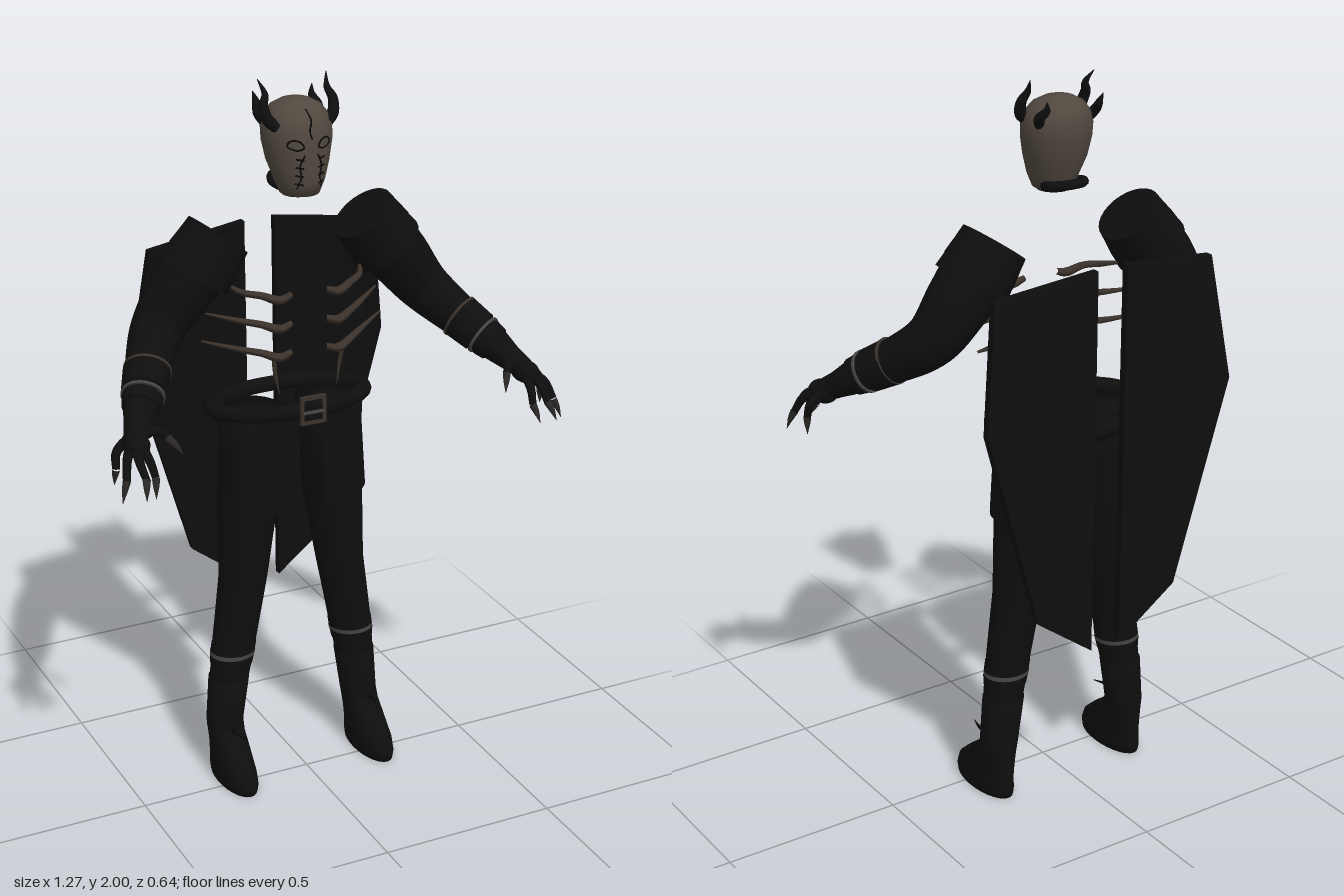
import * as THREE from 'three';

const mat = (name, color, side = THREE.FrontSide) => {
  const m = new THREE.MeshStandardMaterial({ color, side });
  m.name = name;
  return m;
};
const V = (p) => new THREE.Vector3(...p);

export function createModel() {
  const black = mat('blackLeather', 0x0e0e0e, THREE.DoubleSide);
  const dark = mat('darkStrap', 0x080808);
  const mask = mat('maskBone', 0x51483f);
  const bone = mat('ribBone', 0x3a312a);
  const steel = mat('steelTrim', 0x484644);
  const claw = mat('clawHorn', 0x2a2725);

  const add = (parent, name, geo, material) => {
    const m = new THREE.Mesh(geo, material);
    m.name = name;
    parent.add(m);
    return m;
  };

  // Horizontal elliptical rings: [y, centreX, centreZ, radiusX, radiusZ], rising in y
  const loft = (rows, n = 28) => {
    const pos = [], idx = [];
    rows.forEach(([y, cx, cz, rx, rz], i) => {
      for (let j = 0; j < n; j++) {
        const a = (j / n) * Math.PI * 2;
        pos.push(cx + rx * Math.sin(a), y, cz + rz * Math.cos(a));
        if (i === rows.length - 1) continue;
        const p = i * n + j, q = i * n + (j + 1) % n;
        idx.push(p, q, q + n, p, q + n, p + n);
      }
    });
    const g = new THREE.BufferGeometry();
    g.setAttribute('position', new THREE.Float32BufferAttribute(pos, 3));
    g.setIndex(idx);
    g.computeVertexNormals();
    return g;
  };

  // Tube through points with its own radius at each point
  const limb = (pts, radii, sides = 10, segs = 20) => {
    const c = new THREE.CatmullRomCurve3(pts.map(V));
    const g = new THREE.TubeGeometry(c, segs, 1, sides);
    const p = g.attributes.position, v = new THREE.Vector3();
    for (let i = 0; i <= segs; i++) {
      const k = c.getUtoTmapping(i / segs) * (radii.length - 1);
      const a = Math.min(Math.floor(k), radii.length - 2);
      const r = THREE.MathUtils.lerp(radii[a], radii[a + 1], k - a);
      const o = c.getPointAt(i / segs);
      for (let j = 0; j <= sides; j++) {
        const q = i * (sides + 1) + j;
        v.fromBufferAttribute(p, q).sub(o).multiplyScalar(r).add(o);
        p.setXYZ(q, v.x, v.y, v.z);
      }
    }
    g.computeVertexNormals();
    return g;
  };

  // Ring or drum turned so that its axis follows a direction
  const drum = (parent, name, at, dir, r0, r1, h, material) => {
    const m = add(parent, name, new THREE.CylinderGeometry(r1, r0, h, 28), material);
    m.position.set(...at);
    m.quaternion.setFromUnitVectors(new THREE.Vector3(0, 1, 0), V(dir).normalize());
    return m;
  };

  const root = new THREE.Group();
  root.name = 'hornedFigure';

  // Head: an egg-shaped mask
  const headRows = [
    [1.705, 0, -0.045, 0, 0], [1.705, 0, -0.045, 0.052, 0.06], [1.74, 0, -0.045, 0.066, 0.072],
    [1.79, 0, -0.055, 0.083, 0.084], [1.84, 0, -0.06, 0.093, 0.09], [1.875, 0, -0.063, 0.094, 0.09],
    [1.905, 0, -0.066, 0.086, 0.082], [1.928, 0, -0.068, 0.068, 0.064], [1.943, 0, -0.07, 0.04, 0.037],
    [1.948, 0, -0.07, 0, 0]];
  const head = new THREE.Group();
  head.name = 'head';
  root.add(head);
  add(head, 'mask', loft(headRows, 32), mask);

  // Point on the front of the mask
  const onFace = (x, y) => {
    let i = 1;
    while (i < headRows.length - 2 && headRows[i + 1][0] < y) i++;
    const a = headRows[i], b = headRows[i + 1], t = (y - a[0]) / (b[0] - a[0]);
    const [cz, rx, rz] = [2, 3, 4].map((k) => a[k] + (b[k] - a[k]) * t);
    return new THREE.Vector3(x, y, cz + rz * Math.sqrt(Math.max(0, 1 - (x / rx) ** 2)));
  };
  const mark = (name, pts, closed = false) => add(head, name, new THREE.TubeGeometry(
    new THREE.CatmullRomCurve3(pts.map(([x, y]) => onFace(x, y)), closed), 16, 0.0025, 5, closed), dark);
  mark('browSeam', [[0, 1.93], [0.005, 1.905], [-0.003, 1.88], [0.002, 1.86]]);
  for (const s of [-1, 1]) {
    mark('eyeOutline', [[0.02, 1.84], [0.036, 1.833], [0.06, 1.845], [0.05, 1.858], [0.03, 1.855]].map(([x, y]) => [s * x, y]), true);
    mark('cheekSeam', [[0.018, 1.82], [0.03, 1.79], [0.026, 1.76], [0.034, 1.73]].map(([x, y]) => [s * x, y]));
    for (let i = 0; i < 4; i++) {
      const y = 1.74 + i * 0.022;
      mark('stitch', [[s * 0.02, y], [s * 0.03, y + 0.002], [s * 0.04, y + 0.004]]);
    }
  }

  // Neck collar, rising to the back
  const collar = add(head, 'collar', new THREE.TorusGeometry(0.05, 0.013, 10, 28), black);
  collar.rotation.x = Math.PI / 2 + 0.2;
  collar.position.set(0, 1.722, -0.098);
  drum(head, 'chinPad', [0, 1.706, -0.05], [0, 1, 0], 0.045, 0.052, 0.014, black);

  // Parts of the model's left side, mirrored for the right
  const left = new THREE.Group();
  left.name = 'leftSide';

  // Two-pronged horn
  add(left, 'horn', limb([[0.07, 1.885, -0.025], [0.092, 1.905, -0.035], [0.098, 1.94, -0.05], [0.088, 1.965, -0.062],
    [0.097, 2.0, -0.087]], [0.016, 0.016, 0.013, 0.009, 0.001]), black);
  add(left, 'rearHorn', limb([[0.065, 1.875, -0.09], [0.085, 1.905, -0.11], [0.08, 1.93, -0.135], [0.085, 1.955, -0.145]],
    [0.016, 0.014, 0.01, 0.001]), black);

  // Cape panel: each corner has its own depth
  const corners = [[0.045, 1.555, -0.315], [0.045, 0.478, -0.298], [0.22, 0.61, -0.305], [0.38, 1.18, -0.32], [0.335, 1.52, -0.287]];
  const cape = new THREE.ExtrudeGeometry(new THREE.Shape(corners.map(([x, y]) => new THREE.Vector2(x, y))),
    { depth: 0.022, bevelEnabled: false });
  const cp = cape.attributes.position;
  for (let i = 0; i < cp.count; i++) {
    const c = corners.find(([x, y]) => Math.hypot(x - cp.getX(i), y - cp.getY(i)) < 1e-3);
    cp.setZ(i, cp.getZ(i) + c[2]);
  }
  cape.computeVertexNormals();
  add(left, 'capePanel', cape, black);

  // Shoulder guard: stacked drums sloping down and out
  const axis = [-0.59, 0.81, 0];
  [[0, 0.094, 0.09], [0.04, 0.099, 0.094], [0.08, 0.102, 0.097]].forEach(([d, r0, r1]) =>
    drum(left, 'shoulderPlate', [0.222 + 0.59 * d, 1.585 - 0.81 * d, -0.092], axis, r0, r1, 0.042, black));

  // Arm and forearm wraps
  add(left, 'arm', limb([[0.25, 1.55, -0.092], [0.325, 1.46, -0.095], [0.39, 1.375, -0.08], [0.45, 1.31, -0.005],
    [0.5, 1.26, 0.075], [0.54, 1.215, 0.14], [0.565, 1.19, 0.18]],
  [0.092, 0.085, 0.072, 0.06, 0.052, 0.036, 0.03], 20, 36), black);
  const along = [0.045, -0.047, 0.075];
  drum(left, 'forearmGuard', [0.475, 1.285, 0.035], along, 0.062, 0.058, 0.07, black);
  drum(left, 'forearmCuff', [0.508, 1.25, 0.09], along, 0.054, 0.05, 0.03, black);
  drum(left, 'forearmBand', [0.458, 1.302, 0.01], along, 0.0635, 0.063, 0.007, bone);
  drum(left, 'cuffBand', [0.497, 1.262, 0.072], along, 0.058, 0.0575, 0.007, steel);

  // Hand with clawed fingers
  const palm = add(left, 'palm', new THREE.SphereGeometry(1, 16, 12), black);
  palm.position.set(0.565, 1.185, 0.185);
  palm.scale.set(0.035, 0.03, 0.05);
  const fingers = [
    [[0.585, 1.185, 0.16], [0.612, 1.165, 0.17], [0.618, 1.125, 0.18], [0.622, 1.08, 0.175]],
    [[0.585, 1.18, 0.195], [0.605, 1.16, 0.225], [0.617, 1.12, 0.25], [0.635, 1.068, 0.265]],
    [[0.573, 1.18, 0.21], [0.58, 1.16, 0.25], [0.578, 1.13, 0.285], [0.59, 1.085, 0.315]],
    [[0.555, 1.18, 0.21], [0.55, 1.155, 0.245], [0.545, 1.12, 0.265], [0.555, 1.075, 0.29]],
    [[0.545, 1.195, 0.17], [0.51, 1.215, 0.19], [0.49, 1.2, 0.215], [0.465, 1.165, 0.255]]];
  for (const [a, b, c, d] of fingers) {
    add(left, 'finger', limb([a, b, c], [0.014, 0.012, 0.01], 8, 8), black);
    add(left, 'claw', limb([c, c.map((v, i) => (v + d[i]) / 2 + (i === 1 ? 0.004 : 0)), d], [0.011, 0.008, 0.0005], 8, 8), claw);
  }

  // Floating ribs
  [[1.455, 0.2], [1.375, 0.25], [1.295, 0.265]].forEach(([y, w], i) => {
    const rise = i < 2 ? 0.015 : 0.02;
    add(left, 'rib', limb([[0.05, y - 0.01, 0.012], [0.085, y - 0.02, 0.015], [0.13, y - 0.005, 0.0],
      [0.17, y, -0.03], [w, y + rise, -0.09]], [0.008, 0.013, 0.01, 0.009, 0.003], 8), bone);
  });
  add(left, 'lowerRibSpike', limb([[0.1, 1.27, 0.01], [0.095, 1.23, 0.005], [0.085, 1.17, 0.01]], [0.007, 0.006, 0.001], 6, 8), bone);

  // Hip skirt: open shell around the side
  const skirt = new THREE.CylinderGeometry(0.92, 1, 0.27, 28, 1, true, 0.17, 2.55);
  skirt.scale(0.215, 1, 0.13);
  skirt.translate(0, 0.965, -0.09);
  add(left, 'hipSkirt', skirt, black);

  // Leg and boot
  add(left, 'leg', loft([
    [0.14, 0.213, -0.095, 0.05, 0.052], [0.25, 0.203, -0.095, 0.053, 0.052], [0.4, 0.181, -0.095, 0.062, 0.056],
    [0.5, 0.165, -0.096, 0.065, 0.062], [0.6, 0.149, -0.098, 0.068, 0.068], [0.8, 0.131, -0.105, 0.083, 0.082],
    [0.95, 0.12, -0.105, 0.088, 0.092], [1.09, 0.115, -0.1, 0.09, 0.1], [1.1, 0.115, -0.1, 0, 0]]), black);
  add(left, 'boot', loft([
    [0, 0.215, -0.03, 0, 0], [0, 0.215, -0.03, 0.05, 0.118], [0.02, 0.215, -0.03, 0.052, 0.122],
    [0.05, 0.215, -0.035, 0.051, 0.115], [0.09, 0.214, -0.058, 0.05, 0.092], [0.13, 0.213, -0.085, 0.05, 0.065],
    [0.16, 0.212, -0.096, 0.052, 0.054], [0.295, 0.197, -0.097, 0.058, 0.056], [0.295, 0.197, -0.097, 0, 0]]), black);
  add(left, 'kneeStrap', loft([[0.365, 0.186, -0.095, 0.064, 0.058], [0.378, 0.184, -0.095, 0.065, 0.059]]), steel);
  add(left, 'kneeWrap', loft([[0.335, 0.19, -0.095, 0.06, 0.055], [0.362, 0.187, -0.095, 0.0635, 0.0575],
    [0.4, 0.181, -0.095, 0.0635, 0.0575]]), black);
  add(left, 'ankleSpur', limb([[0.213, 0.15, -0.05], [0.218, 0.157, -0.01], [0.205, 0.155, 0.04]], [0.007, 0.005, 0.001], 6, 8), dark);

  const right = left.clone();
  right.name = 'rightSide';
  right.scale.x = -1;
  root.add(left, right);

  // Belt: elliptical ring, lower at the back
  const belt = new THREE.TorusGeometry(1, 0.13, 12, 56);
  belt.scale(0.215, 0.139, 0.17);
  belt.rotateX(Math.PI / 2 - 0.1);
  add(root, 'belt', belt, black).position.set(0, 1.1, -0.117);

  // Buckle frame with prong
  const frame = new THREE.Shape([[-0.037, -0.04], [0.037, -0.04], [0.037, 0.04], [-0.037, 0.04]].map((p) => new THREE.Vector2(...p)));
  frame.holes.push(new THREE.Path([[-0.027, -0.03], [-0.027, 0.03], [0.027, 0.03], [0.027, -0.03]].map((p) => new THREE.Vector2(...p))));
  add(root, 'buckle', new THREE.ExtrudeGeometry(frame, { depth: 0.012, bevelEnabled: false }), bone).position.set(0, 1.12, 0.032);
  add(root, 'bucklePlate', new THREE.BoxGeometry(0.06, 0.05, 0.012), black).position.set(0, 1.11, 0.034);
  add(root, 'bucklePin', new THREE.BoxGeometry(0.06, 0.007, 0.008), steel).position.set(0, 1.115, 0.042);

  return root;
}
